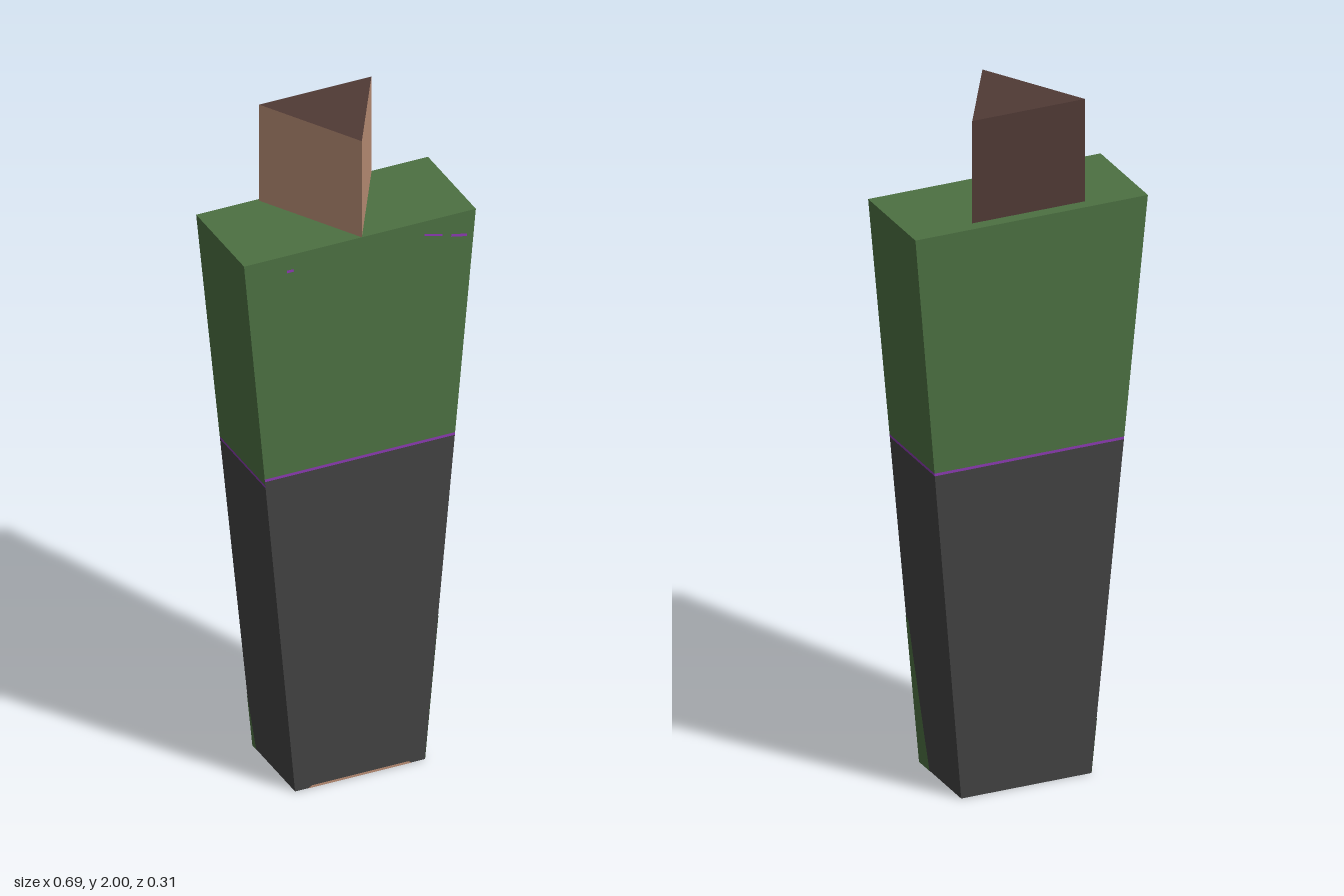
import * as THREE from 'three';

const mat = (name, color, extra = {}) => {
  const m = new THREE.MeshStandardMaterial({ color, ...extra });
  m.name = name;
  return m;
};

export function createModel() {
  const double = { side: THREE.DoubleSide };
  const green = mat('green', 0x4c7042, double);
  const grey = mat('charcoal', 0x424242, double);
  const purple = mat('purple', 0x8a3ab0, double);
  const tan = mat('tan', 0xb88c74);
  const brown = mat('darkBrown', 0x503a35);

  const model = new THREE.Group();
  model.name = 'taperedBlock';

  // Tapered shell: corners run front right, front left, back left, back right
  const H = 1.69;
  const bottom = [[-0.193, 0.143], [0.193, 0.143], [0.193, -0.12], [-0.193, -0.12]];
  const top = [[-0.345, 0.143], [0.345, 0.143], [0.345, -0.154], [-0.345, -0.154]];
  const outward = [[0, 1], [1, 0], [0, -1], [-1, 0]];
  const sides = ['front', 'left', 'back', 'right'];
  const lerp = THREE.MathUtils.lerp;

  // A point on a wall, from u across it and height y
  const wallPoint = (wall, u, y, lift) => [0, 1].map((k) => {
    const a = lerp(bottom[wall][k], top[wall][k], y / H);
    const b = lerp(bottom[(wall + 1) % 4][k], top[(wall + 1) % 4][k], y / H);
    return lerp(a, b, u) + outward[wall][k] * lift;
  });

  // A flat polygon lying on a wall, corners counterclockwise from outside
  const patch = (name, wall, points, material, lift = 0) => {
    const pos = [];
    const push = ([u, y]) => {
      const [x, z] = wallPoint(wall, u, y, lift);
      pos.push(x, y, z);
    };
    for (let i = 1; i < points.length - 1; i++) [points[0], points[i], points[i + 1]].forEach(push);
    const g = new THREE.BufferGeometry();
    g.setAttribute('position', new THREE.Float32BufferAttribute(pos, 3));
    g.computeVertexNormals();
    const mesh = new THREE.Mesh(g, material);
    mesh.name = name;
    model.add(mesh);
  };
  const band = (y0, y1) => [[0, y0], [1, y0], [1, y1], [0, y1]];

  // Four walls: grey below, thin purple seam, green above; the underside is open
  sides.forEach((side, i) => {
    const seam = i === 0 ? 1.0 : 0.98;
    patch(side + 'LowerWall', i, band(0, seam - 0.004), grey);
    patch(side + 'Seam', i, band(seam - 0.004, seam + 0.004), purple);
    patch(side + 'UpperWall', i, band(seam + 0.004, H), green);
  });

  // Small painted marks
  patch('leftGreenWedge', 1, [[0, 0], [0.25, 0], [0.2, 0.1], [0.09, 0.34], [0.06, 0.43], [0, 0.44]], green, 0.001);
  patch('rightGreenWedge', 3, [[0, 0], [0.09, 0], [0, 0.17]], green, 0.001);
  patch('frontBottomTrim', 0, [[0.1, 0], [0.9, 0], [0.87, 0.007], [0.13, 0.007]], tan, 0.001);
  patch('frontLeftDash', 0, [[0.78, 1.645], [0.86, 1.632], [0.86, 1.638], [0.78, 1.651]], purple, 0.001);
  patch('frontCornerDash', 0, [[0.9, 1.622], [0.97, 1.612], [0.97, 1.62], [0.9, 1.63]], purple, 0.001);
  patch('frontRightDash', 0, [[0.18, 1.636], [0.21, 1.636], [0.21, 1.644], [0.18, 1.644]], purple, 0.001);

  // Green lid
  const lidShape = new THREE.Shape(top.map(([x, z]) => new THREE.Vector2(x, -z)));
  const lid = new THREE.Mesh(new THREE.ShapeGeometry(lidShape).rotateX(-Math.PI / 2), green);
  lid.name = 'lid';
  lid.position.y = H;
  model.add(lid);

  // Triangular prism just above the lid: tan front faces, brown back and ends
  const prismGeometry = new THREE.CylinderGeometry(0.193, 0.193, 0.302, 3).toNonIndexed();
  prismGeometry.computeVertexNormals();
  prismGeometry.clearGroups();
  prismGeometry.addGroup(0, 6, 0);
  prismGeometry.addGroup(6, 6, 1);
  prismGeometry.addGroup(12, 6, 0);
  prismGeometry.addGroup(18, 18, 1);
  const prism = new THREE.Mesh(prismGeometry, [tan, brown]);
  prism.name = 'topPrism';
  prism.position.set(0, 1.849, -0.038);
  model.add(prism);

  return model;
}
